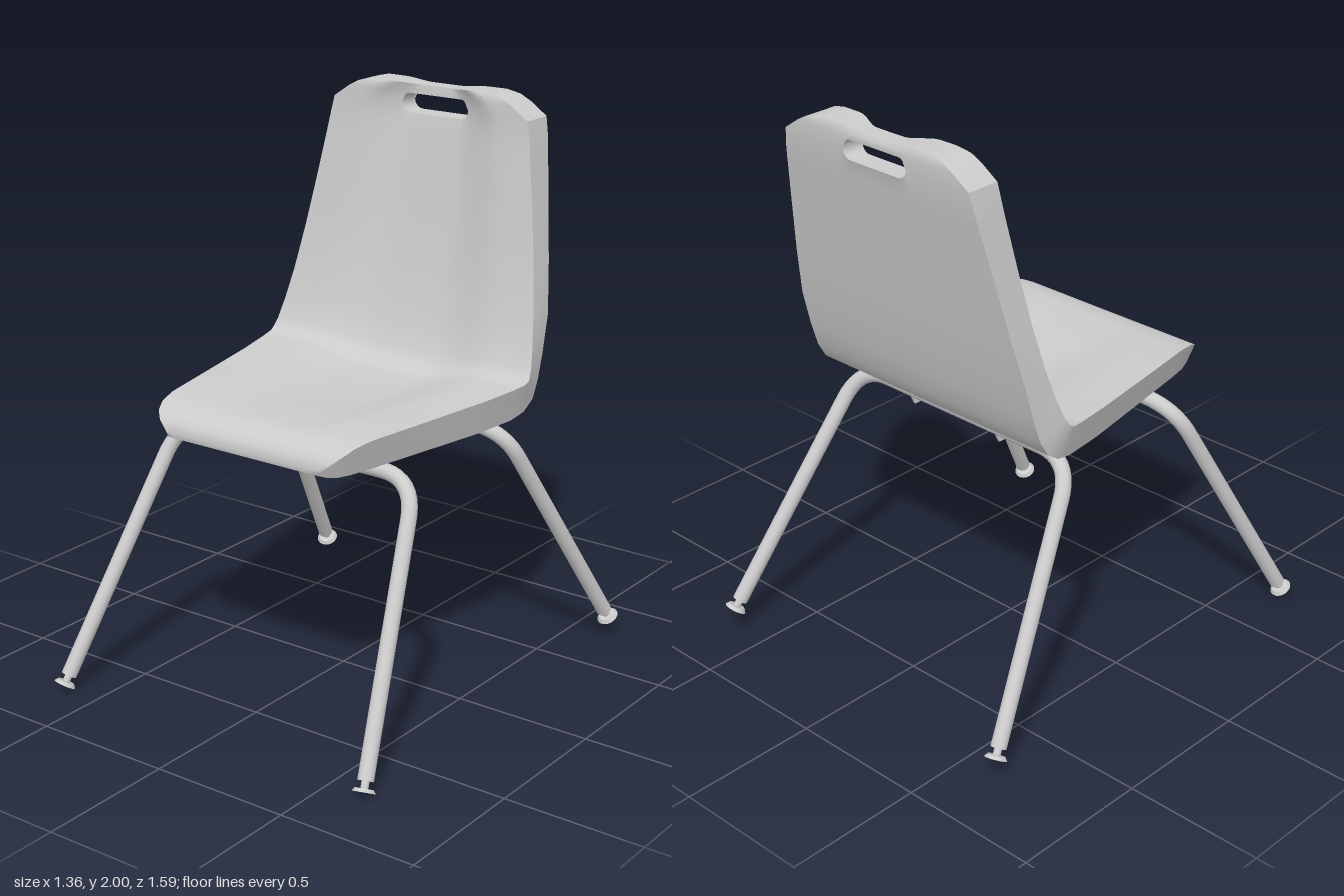
import * as THREE from 'three';
import { toCreasedNormals } from 'three/addons/utils/BufferGeometryUtils.js';

const material = new THREE.MeshStandardMaterial({ color: 0xcccccc, side: THREE.DoubleSide });

function add(group, name, geometry) {
  const mesh = new THREE.Mesh(geometry, material);
  mesh.name = name;
  group.add(mesh);
  return mesh;
}

// Seat and back: sitting side (z, y), outer side (z, y), half width, from front lip to top edge
const LOWER = [
  [0.555, 0.960, 0.550, 0.942, 0.32],
  [0.543, 0.992, 0.535, 0.937, 0.36],
  [0.520, 0.015 + 1, 0.510, 0.936, 0.385],
  [0.480, 1.034, 0.470, 0.936, 0.402],
  [0.410, 1.045, 0.400, 0.936, 0.418],
  [0.200, 1.049, 0.190, 0.936, 0.457],
  [-0.100, 1.056, -0.110, 0.936, 0.512],
  [-0.240, 1.064, -0.270, 0.943, 0.538],
  [-0.290, 1.069, -0.335, 0.958, 0.547],
  [-0.312, 1.080, -0.385, 0.992, 0.55],
  [-0.332, 1.110, -0.420, 1.050, 0.545],
  [-0.358, 1.180, -0.450, 1.140, 0.532],
  [-0.390, 1.290, -0.485, 1.270, 0.513],
  [-0.425, 1.450, -0.523, 1.440, 0.487],
  [-0.455, 1.630, -0.560, 1.630, 0.457],
  [-0.482, 1.820, -0.598, 1.820, 0.425],
  [-0.487, 1.862, -0.606, 1.862, 0.418],
  [-0.492, 1.923, -0.615, 1.923, 0.405],
];
const UPPER = [
  LOWER.at(-1),
  [-0.493, 1.966, -0.616, 1.966, 0.342],
  [-0.495, 1.988, -0.615, 1.988, 0.30],
  [-0.503, 2.000, -0.608, 2.000, 0.25],
];
const HOLE_WIDTH = 0.14, HOLE_RADIUS = 0.034, HOLE_ROW_WIDTH = 0.405;
const HALF = [0.035, 0.07, 0.106, 0.116, 0.126, 0.134, 0.138, 0.14, 0.17, 0.2, 0.23, 0.26, 0.29, 0.33, 0.37, 0.405];
const COLUMNS = [...HALF.map(x => -x).reverse(), 0, ...HALF];

// Half height of the rounded slot at x
function slotHeight(x) {
  const d = Math.max(0, Math.abs(x) - (HOLE_WIDTH - HOLE_RADIUS));
  return Math.sqrt(Math.max(0, HOLE_RADIUS ** 2 - d * d));
}

function shellGeometry() {
  const positions = [], index = [], n = COLUMNS.length;
  const quad = (a, b, c, d) => index.push(a, b, c, a, c, d);
  const inHole = i => Math.abs(COLUMNS[i] + COLUMNS[i + 1]) / 2 < HOLE_WIDTH;

  function section(rows, holeRow, holeSide) {
    const start = positions.length / 3;
    rows.forEach(([zi, yi, zo, yo, w], r) => {
      const taper = 0.028 * (1 - THREE.MathUtils.smoothstep(yi, 1.07, 1.3));
      const inner = [], outer = [];
      for (const x of COLUMNS) {
        const f = x / HOLE_ROW_WIDTH;
        const hollow = 1 - THREE.MathUtils.smoothstep(Math.abs(f), 0.22, 0.72);
        const dip = hollow * 0.38 * THREE.MathUtils.smoothstep(-zi, -0.56, 0.1);
        const shift = r === holeRow ? holeSide * slotHeight(x) : 0;
        const sag = yi > 1.98 ? -0.01 * hollow : 0;
        inner.push([f * w, yi + (yo - yi) * dip + shift + sag, zi + (zo - zi) * dip]);
        outer.push([f * (w - taper), yo + shift + sag, zo]);
      }
      positions.push(...inner.flat(), ...outer.reverse().flat());
    });
    const at = (r, k) => start + r * 2 * n + k % (2 * n);
    for (let r = 0; r < rows.length - 1; r++)
      for (let k = 0; k < 2 * n; k++) quad(at(r, k), at(r, k + 1), at(r + 1, k + 1), at(r + 1, k));
    // Close the ends; only the slot part is closed where the two sections meet
    const last = rows.length - 1;
    for (let i = 0; i < n - 1; i++) {
      const o = 2 * n - 1 - i;
      if (holeRow !== 0 || inHole(i)) quad(at(0, o), at(0, o - 1), at(0, i + 1), at(0, i));
      if (holeRow !== last || inHole(i)) quad(at(last, i), at(last, i + 1), at(last, o - 1), at(last, o));
    }
  }
  section(LOWER, LOWER.length - 1, -1);
  section(UPPER, 0, 1);

  const g = new THREE.BufferGeometry();
  g.setAttribute('position', new THREE.Float32BufferAttribute(positions, 3));
  g.setIndex(index);
  return toCreasedNormals(g, 0.65);
}

// Cylinder from point p along direction d
function rod(group, name, p, d, length, r0, r1) {
  const mesh = add(group, name, new THREE.CylinderGeometry(r1, r0, length, 24));
  mesh.position.copy(p).addScaledVector(d, length / 2);
  mesh.quaternion.setFromUnitVectors(new THREE.Vector3(0, 1, 0), d);
}

// Bent tube making a pair of legs and the bar joining them
function legPair(name, bar, foot) {
  const group = new THREE.Group();
  group.name = name;
  const path = new THREE.CurvePath();
  const side = s => {
    const corner = new THREE.Vector3(s * 0.495, bar.y, bar.z);
    const end = new THREE.Vector3(s * foot.x, foot.y, foot.z);
    return { corner, end, inner: new THREE.Vector3(s * 0.36, bar.y, bar.z), outer: corner.clone().lerp(end, 0.14) };
  };
  const a = side(-1), b = side(1);
  path.add(new THREE.LineCurve3(a.end, a.outer));
  path.add(new THREE.QuadraticBezierCurve3(a.outer, a.corner, a.inner));
  path.add(new THREE.LineCurve3(a.inner, b.inner));
  path.add(new THREE.QuadraticBezierCurve3(b.inner, b.corner, b.outer));
  path.add(new THREE.LineCurve3(b.outer, b.end));
  add(group, 'legTube', new THREE.TubeGeometry(path, 120, 0.027, 16));

  // Tube plugs and glide feet
  for (const { corner, end } of [a, b]) {
    const d = end.clone().sub(corner).normalize();
    rod(group, 'tubePlug', end.clone().addScaledVector(d, -0.01), d, 0.012, 0.027, 0.027);
    rod(group, 'footStem', end, d, 0.032, 0.013, 0.013);
    rod(group, 'footDisc', end.clone().addScaledVector(d, 0.026), d, 0.012, 0.03, 0.039);
  }
  return group;
}

export function createModel() {
  const model = new THREE.Group();
  model.name = 'chair';
  add(model, 'seatShell', shellGeometry());

  model.add(legPair('frontLegs', { y: 0.895, z: 0.28 }, { x: 0.637, y: 0.053, z: 0.742 }));
  model.add(legPair('rearLegs', { y: 0.91, z: -0.245 }, { x: 0.637, y: 0.107, z: -0.738 }));

  // Thin plates under the seat; shape drawn in (-z, y)
  const outline = new THREE.Shape([[-0.35, 0.938], [-0.315, 0.86], [0.25, 0.86], [0.29, 0.945]]
    .map(p => new THREE.Vector2(...p)));
  for (const x of [-0.18, 0.22]) {
    const plate = add(model, 'supportPlate', new THREE.ExtrudeGeometry(outline, { depth: 0.008, bevelEnabled: false }));
    plate.rotation.y = Math.PI / 2;
    plate.position.x = x;
  }
  return model;
}
